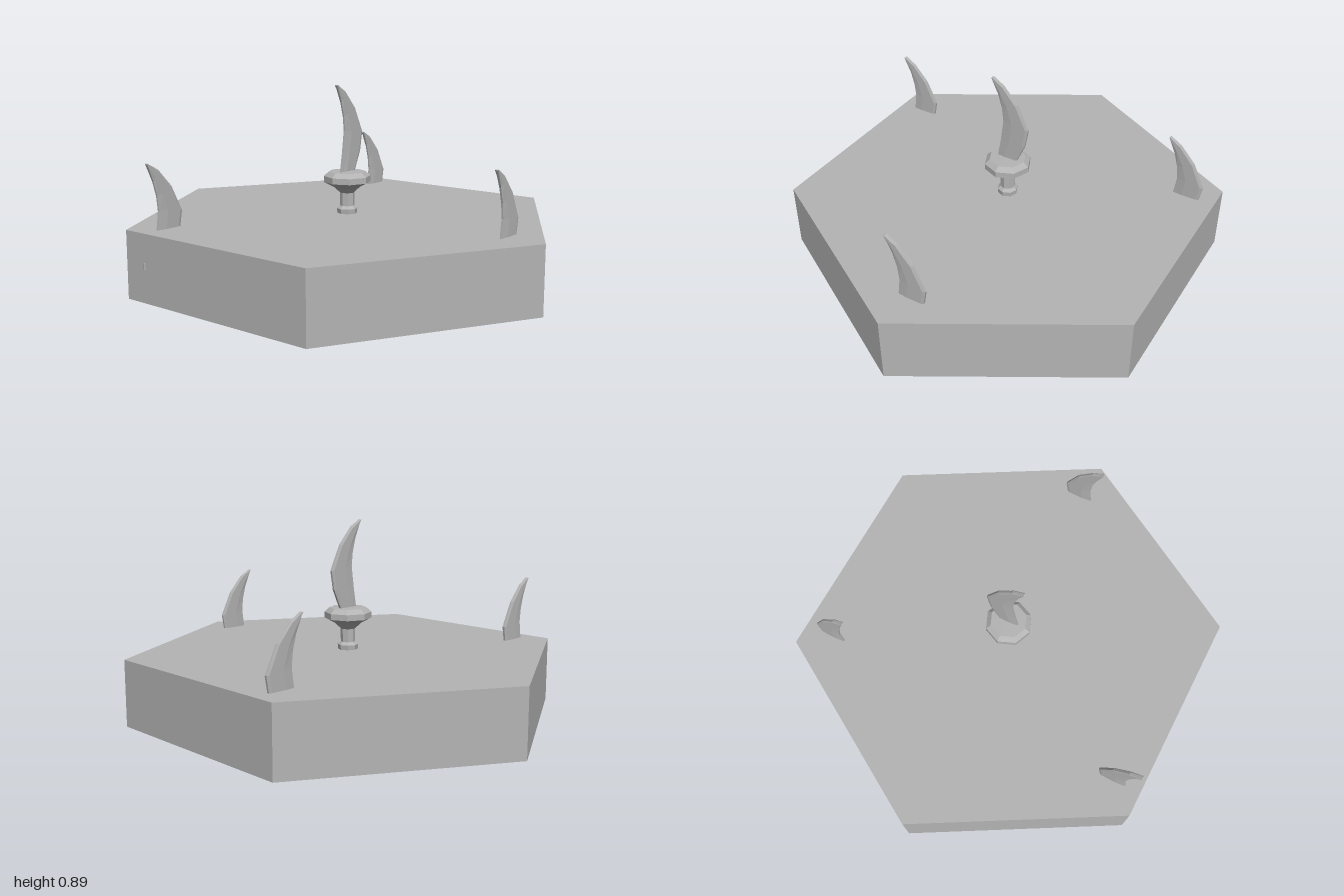
import * as THREE from 'three';

const stone = new THREE.MeshStandardMaterial({ color: 0xb4b4b4 });
stone.name = 'grey';

// Hard-edged facets
function faceted(geometry) {
  const g = geometry.index ? geometry.toNonIndexed() : geometry;
  g.computeVertexNormals();
  return g;
}

function part(name, geometry) {
  const mesh = new THREE.Mesh(faceted(geometry), stone);
  mesh.name = name;
  return mesh;
}

// Curved blade lofted through sections: cutting edge x, y and spine x, y
function bladeGeometry() {
  const sections = [
    [-0.05, 0.48, 0.045, 0.48],
    [-0.033, 0.58, 0.09, 0.58],
    [-0.02, 0.68, 0.105, 0.667],
    [-0.027, 0.745, 0.05, 0.78],
    [-0.045, 0.81, -0.02, 0.858],
    [-0.078, 0.885, -0.074, 0.888],
  ];
  // Cross-section: fraction from edge to spine, and z
  const ring = [[0, 0.004], [0.35, 0.009], [0.9, 0.009], [1, 0.005],
    [1, -0.005], [0.9, -0.009], [0.35, -0.009], [0, -0.004]];
  const n = ring.length, last = (sections.length - 1) * n;
  const positions = [], index = [];
  for (const [xe, ye, xs, ys] of sections) {
    for (const [t, z] of ring) positions.push(xe + (xs - xe) * t, ye + (ys - ye) * t, z);
  }
  for (let i = 0; i < last; i += n) {
    for (let j = 0; j < n; j++) {
      const k = (j + 1) % n;
      index.push(i + j, i + k, i + n + k, i + j, i + n + k, i + n + j);
    }
  }
  for (let j = 1; j < n - 1; j++) {
    index.push(0, j + 1, j, last, last + j, last + j + 1);
  }
  const g = new THREE.BufferGeometry();
  g.setAttribute('position', new THREE.Float32BufferAttribute(positions, 3));
  g.setIndex(index);
  return g;
}

// Eight-sided turned hilt: pommel, grip and flared guard
function hiltGeometry() {
  const profile = [
    [0, 0.3], [0.045, 0.3], [0.047, 0.322], [0.033, 0.335], [0.033, 0.395],
    [0.06, 0.42], [0.107, 0.445], [0.107, 0.472], [0.085, 0.492], [0, 0.494],
  ].map(([r, y]) => new THREE.Vector2(r, y));
  return new THREE.LatheGeometry(profile, 8);
}

function dagger(name, x, y, z) {
  const group = new THREE.Group();
  group.name = name;
  group.add(part('blade', bladeGeometry()), part('hilt', hiltGeometry()));
  group.position.set(x, y, z);
  return group;
}

export function createModel() {
  const model = new THREE.Group();
  model.name = 'daggerPlatform';

  // Hexagonal slab
  const base = part('base', new THREE.CylinderGeometry(1, 1, 0.3, 6));
  base.position.y = 0.15;
  model.add(base);

  // One dagger standing clear, three sunk to the blade
  model.add(
    dagger('centreDagger', 0, 0, 0),
    dagger('frontDagger', 0, -0.299, 0.815),
    dagger('backRightDagger', -0.762, -0.299, -0.388),
    dagger('backLeftDagger', 0.697, -0.299, -0.388),
  );
  return model;
}
